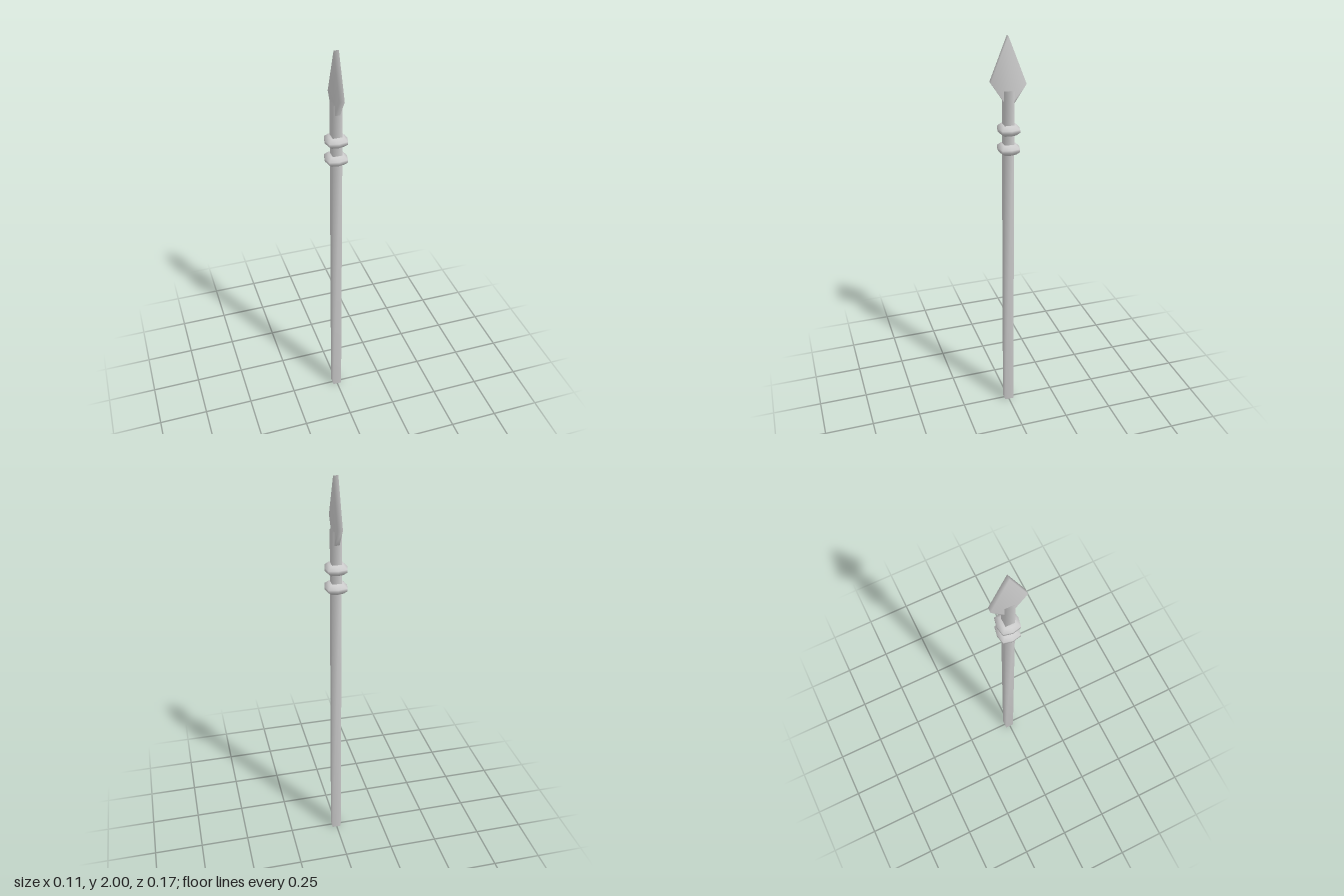
import * as THREE from 'three';
import { mergeVertices } from 'three/addons/utils/BufferGeometryUtils.js';

const material = new THREE.MeshStandardMaterial({ color: 0xcccccc });

// Weld all corners so shading blends softly over the low-poly edges
function smooth(geometry) {
  geometry.deleteAttribute('normal');
  geometry.deleteAttribute('uv');
  const welded = mergeVertices(geometry, 1e-4);
  welded.computeVertexNormals();
  return welded;
}

function addPart(group, name, geometry) {
  const mesh = new THREE.Mesh(smooth(geometry), material);
  mesh.name = name;
  group.add(mesh);
  return mesh;
}

// Eight-sided collar with a ridge, its diagonal corners pushed out to look squarish
function collarGeometry() {
  const profile = [[0.015, -0.024], [0.036, -0.024], [0.054, -0.007], [0.054, 0.007], [0.036, 0.024], [0.015, 0.024]]
    .map(([r, y]) => new THREE.Vector2(r, y));
  const geometry = new THREE.LatheGeometry(profile, 8);
  const pos = geometry.attributes.position;
  for (let i = 0; i < pos.count; i++) {
    const x = pos.getX(i), z = pos.getZ(i);
    const diagonal = Math.abs(x) > 0.005 && Math.abs(z) > 0.005;
    const s = diagonal ? 1.17 : 1;
    pos.setX(i, x * s);
    pos.setZ(i, z * s * 0.96);
  }
  return geometry;
}

export function createModel() {
  const group = new THREE.Group();
  group.name = 'spear';

  // Square shaft
  const shaft = addPart(group, 'shaft', new THREE.BoxGeometry(0.046, 1.75, 0.046));
  shaft.position.set(0, 0.875, -0.002);

  // Two collars below the head
  [['lowerCollar', 1.47], ['upperCollar', 1.565]].forEach(([name, y]) => {
    addPart(group, name, collarGeometry()).position.set(0, y, -0.004);
  });

  // Flat blade: outline in z and y, thickness along x
  const outline = new THREE.Shape([[0, 1.67], [0.083, 1.795], [0, 2], [-0.087, 1.777], [-0.02, 1.677]]
    .map(([z, y]) => new THREE.Vector2(z, y)));
  const blade = new THREE.ExtrudeGeometry(outline, { depth: 0.024, bevelEnabled: false });
  blade.translate(0, 0, -0.012).rotateY(-Math.PI / 2);
  addPart(group, 'blade', blade);

  return group;
}
